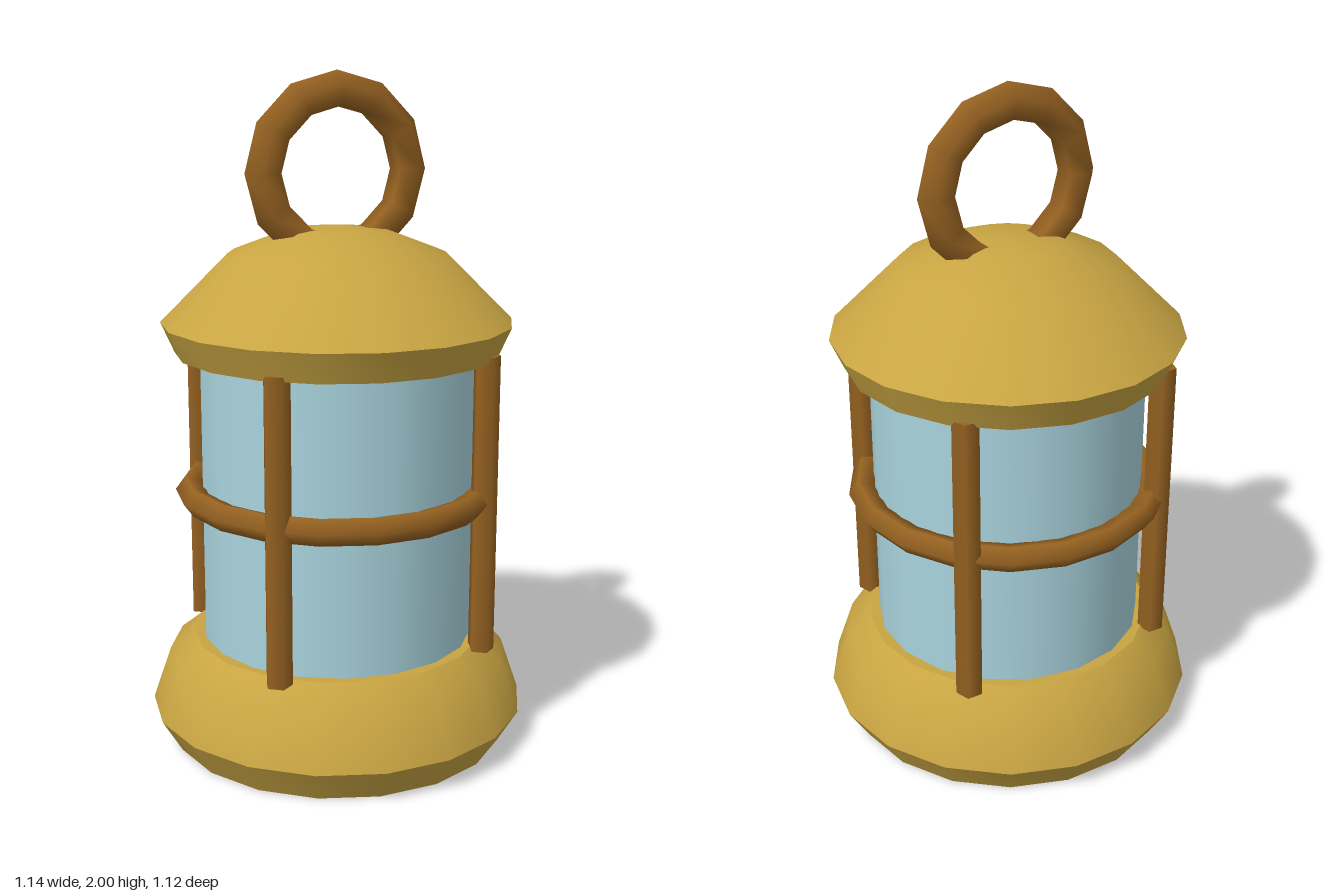
import * as THREE from 'three';
import { toCreasedNormals } from 'three/addons/utils/BufferGeometryUtils.js';

export function createModel() {
  const model = new THREE.Group();
  model.name = 'lantern';

  const brass = new THREE.MeshStandardMaterial({ color: 0xc8a442 });
  brass.name = 'brass';
  const copper = new THREE.MeshStandardMaterial({ color: 0x966221 });
  copper.name = 'copper';
  const glass = new THREE.MeshStandardMaterial({ color: 0xa9d3dd });
  glass.name = 'glass';

  function add(name, geometry, material, x = 0, y = 0, z = 0) {
    const mesh = new THREE.Mesh(geometry, material);
    mesh.name = name;
    mesh.position.set(x, y, z);
    model.add(mesh);
    return mesh;
  }

  // 18-sided turned part with a corner on the x axis; sharp rims stay creased
  function turned(profile) {
    const points = profile.map(([r, y]) => new THREE.Vector2(r, y));
    return toCreasedNormals(new THREE.LatheGeometry(points, 18, Math.PI / 2), 0.65);
  }

  // Flared base and domed roof
  add('base', turned([[0, 0], [0.51, 0], [0.57, 0.1], [0.515, 0.26], [0.44, 0.32], [0, 0.32]]), brass);
  add('roof', turned([[0, 1.19], [0.48, 1.19], [0.52, 1.28], [0.32, 1.48], [0.15, 1.545], [0, 1.56]]), brass);

  // Glass body between base and roof
  add('glassBody', new THREE.CylinderGeometry(0.41, 0.41, 0.92, 18), glass, 0, 0.76, 0);

  // Four upright guard bars
  for (const [x, side] of [[0.325, 'left'], [-0.325, 'right']]) {
    for (const [z, end] of [[0.325, 'Front'], [-0.325, 'Back']]) {
      add(side + end + 'Bar', new THREE.CylinderGeometry(0.04, 0.04, 0.895, 5), copper, x, 0.7575, z);
    }
  }

  // Guard ring around the middle
  add('guardRing', new THREE.TorusGeometry(0.445, 0.042, 5, 18).rotateX(Math.PI / 2), copper, 0, 0.77, 0);

  // Carrying ring sunk into the roof
  add('handleRing', new THREE.TorusGeometry(0.23, 0.055, 5, 12), copper, 0, 1.715, 0);

  return model;
}
